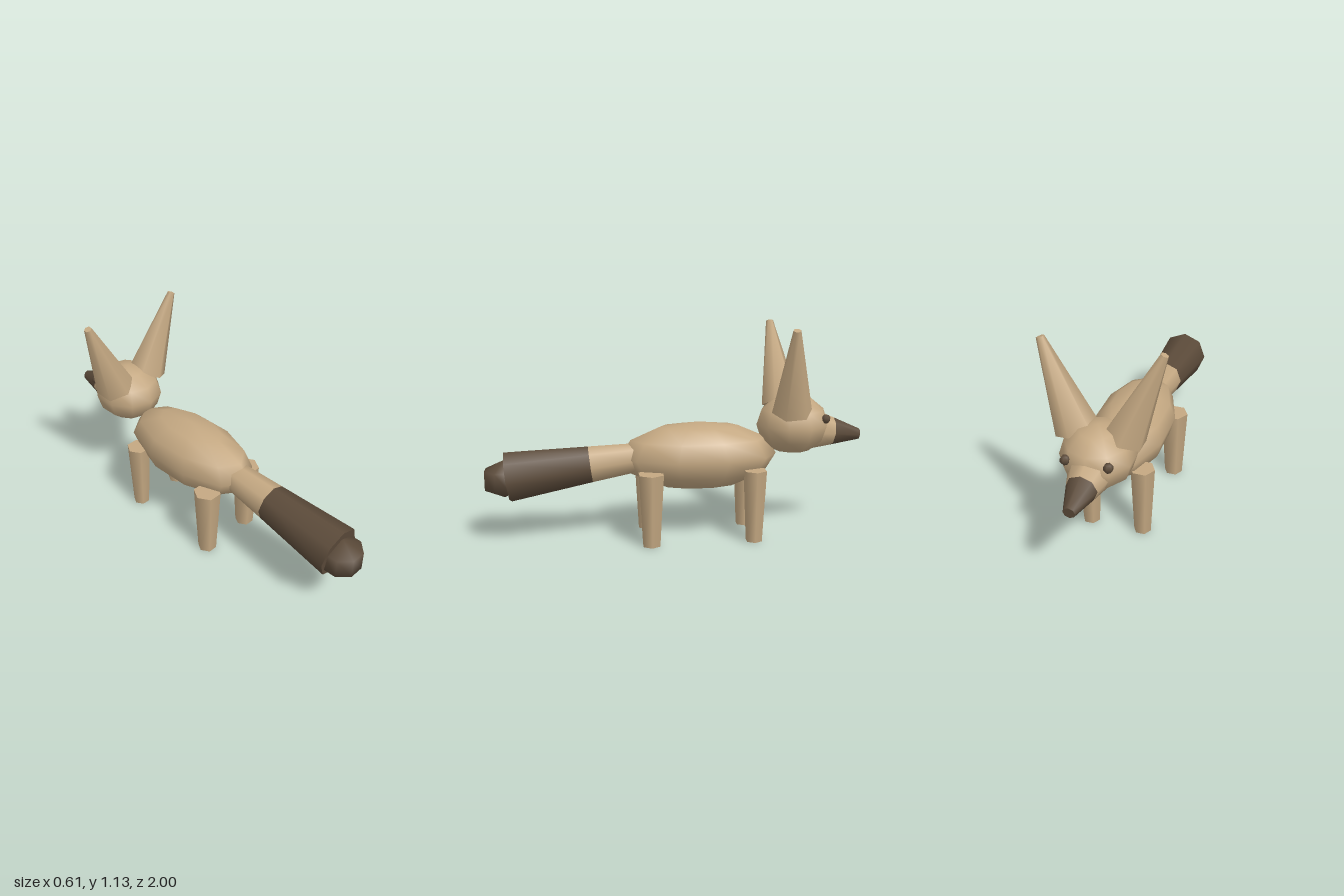
import * as THREE from 'three';

export function createModel() {
  const group = new THREE.Group();
  const material = (name, color) => {
    const m = new THREE.MeshStandardMaterial({ color });
    m.name = name;
    return m;
  };
  const tan = material('sandyFur', 0xc4a882);
  const dark = material('darkBrown', 0x5c4b3a);

  const add = (name, geometry, mat) => {
    const mesh = new THREE.Mesh(geometry, mat);
    mesh.name = name;
    group.add(mesh);
    return mesh;
  };

  // Low-poly ellipsoid with its poles up and down
  const ellipsoid = (name, mat, center, radii, segs, rows, phi = Math.PI / 2) => {
    const mesh = add(name, new THREE.SphereGeometry(1, segs, rows, phi), mat);
    mesh.scale.set(...radii);
    mesh.position.set(...center);
  };

  // Tapered cylinder running from point a (radius ra) to point b (radius rb)
  const taper = (name, mat, a, ra, b, rb, segs, theta = 0) => {
    const start = new THREE.Vector3(...a);
    const end = new THREE.Vector3(...b);
    const axis = end.clone().sub(start);
    const mesh = add(name, new THREE.CylinderGeometry(rb, ra, axis.length(), segs, 1, false, theta), mat);
    mesh.position.copy(start).add(end).multiplyScalar(0.5);
    mesh.quaternion.setFromUnitVectors(new THREE.Vector3(0, 1, 0), axis.normalize());
  };

  // Body and head
  ellipsoid('body', tan, [0, 0.442, -0.12], [0.2, 0.182, 0.42], 10, 6);
  ellipsoid('head', tan, [0, 0.6, -0.625], [0.182, 0.16, 0.195], 10, 6);

  // Snout, pale at the base and dark at the tip
  taper('snoutBase', tan, [0, 0.567, -0.725], 0.112, [0, 0.552, -0.845], 0.076, 8);
  taper('snoutTip', dark, [0, 0.552, -0.845], 0.076, [0, 0.533, -0.996], 0.029, 8);

  // Bushy tail with a dark end and rounded tip
  taper('tailBase', tan, [0, 0.439, 0.2], 0.078, [0, 0.408, 0.455], 0.098, 8);
  taper('tailBrush', dark, [0, 0.408, 0.455], 0.098, [0, 0.353, 0.885], 0.134, 8);
  ellipsoid('tailTip', dark, [0, 0.345, 0.904], [0.12, 0.1, 0.12], 8, 3, Math.PI / 8);

  // Paired ears, eyes and legs
  for (const s of [-1, 1]) {
    const side = s > 0 ? 'left' : 'right';
    taper(side + 'Ear', tan, [s * 0.118, 0.692, -0.59], 0.106, [s * 0.29, 1.125, -0.557], 0.02, 6);
    ellipsoid(side + 'Eye', dark, [s * 0.103, 0.642, -0.778], [0.025, 0.025, 0.025], 6, 5);
    taper(side + 'FrontLeg', tan, [s * 0.14, 0, -0.398], 0.045, [s * 0.14, 0.387, -0.398], 0.064, 6, Math.PI / 2);
    taper(side + 'BackLeg', tan, [s * 0.15, 0, 0.148], 0.05, [s * 0.15, 0.387, 0.148], 0.072, 6, Math.PI / 2);
  }

  return group;
}
